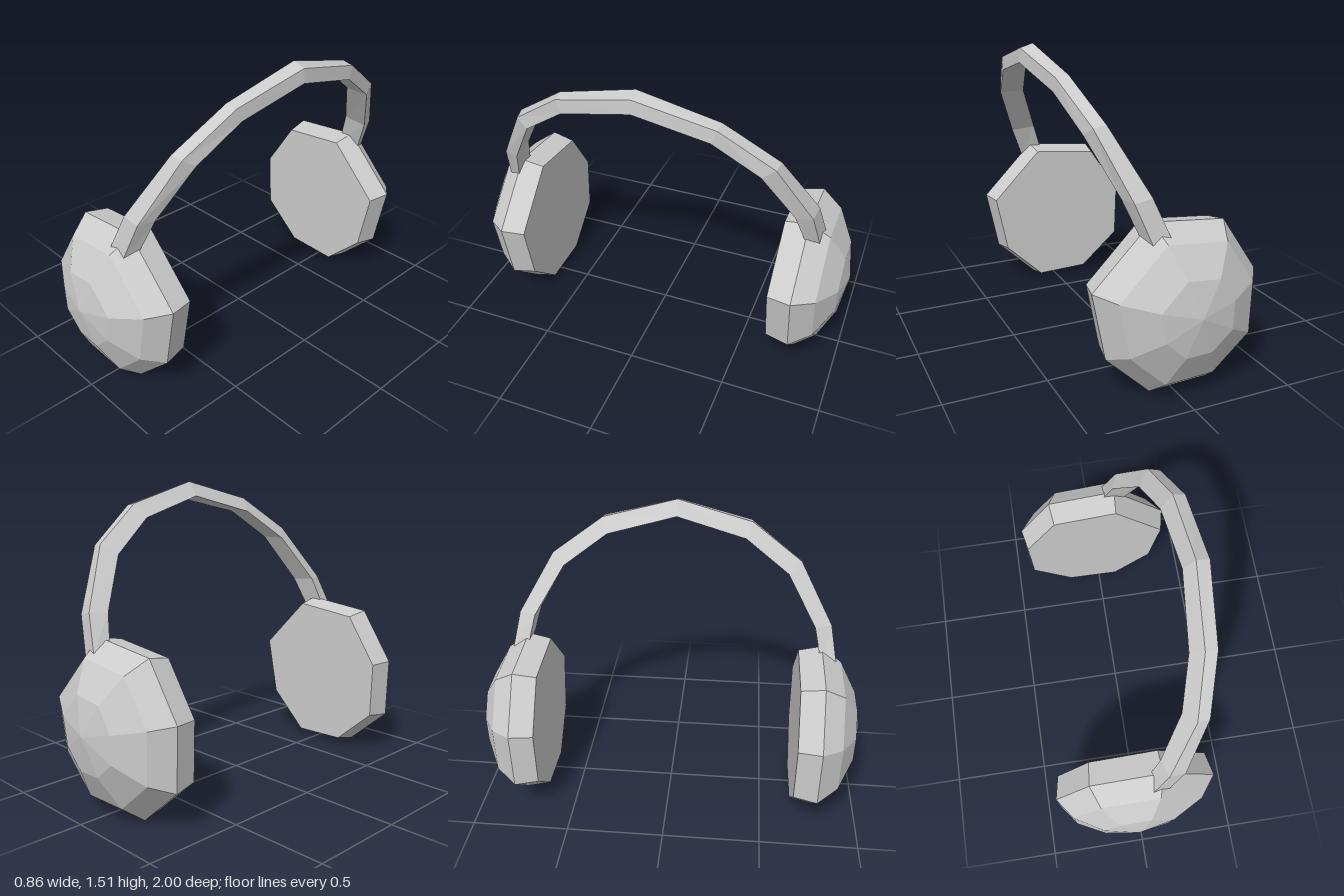
import * as THREE from 'three';

const material = new THREE.MeshStandardMaterial({ color: 0xcccccc, flatShading: true });

// Skin closed rings (counter-clockwise seen from +z, ordered towards +z), closing each end with a fan to a tip.
function loft(name, rings, startTip, endTip) {
  const pos = [];
  const tri = (...pts) => pts.forEach((p) => pos.push(...p));
  const n = rings[0].length;
  const first = rings[0];
  const last = rings[rings.length - 1];
  for (let i = 0; i < n; i++) {
    const j = (i + 1) % n;
    for (let k = 0; k < rings.length - 1; k++) {
      const a = rings[k];
      const b = rings[k + 1];
      tri(a[i], a[j], b[j]);
      tri(a[i], b[j], b[i]);
    }
    tri(first[j], first[i], startTip);
    tri(last[i], last[j], endTip);
  }
  const geometry = new THREE.BufferGeometry();
  geometry.setAttribute('position', new THREE.Float32BufferAttribute(pos, 3));
  geometry.computeVertexNormals();
  const mesh = new THREE.Mesh(geometry, material);
  mesh.name = name;
  return mesh;
}

const flip = ([x, y, z]) => [x, y, -z];
const mean = (ring) => [0, 1, 2].map((c) => ring.reduce((s, p) => s + p[c], 0) / ring.length);

// Slightly irregular octagonal outline of an ear cup
const CENTRE = [-0.03, 0.43];
const OUTLINE = [
  [0.395, 0.535], [0.115, 0.82], [-0.25, 0.785], [-0.43, 0.52],
  [-0.42, 0.21], [-0.19, 0.01], [0.11, 0], [0.33, 0.21],
];
// Dome profile: [depth, scale of the outline]
const DOME = [[0.66, 0.94], [0.78, 1], [0.885, 0.81], [0.967, 0.44]];

function cup(name, mirrored) {
  let rings = DOME.map(([z, s]) => OUTLINE.map(([x, y]) => [
    CENTRE[0] + (x - CENTRE[0]) * s, CENTRE[1] + (y - CENTRE[1]) * s, z,
  ]));
  let face = [...CENTRE, 0.66];
  let apex = [...CENTRE, 1];
  if (!mirrored) return loft(name, rings, face, apex);
  rings = rings.map((r) => r.map(flip)).reverse();
  return loft(name, rings, flip(apex), flip(face));
}

// Four-cornered band sections from the crown down to one cup
const BAND = [
  [[0.425, 1.42, 0], [0.42, 1.49, 0], [0.355, 1.51, 0], [0.3, 1.435, 0]],
  [[0.395, 1.335, 0.36], [0.39, 1.4, 0.385], [0.33, 1.41, 0.39], [0.27, 1.34, 0.36]],
  [[0.345, 1.18, 0.58], [0.325, 1.22, 0.64], [0.265, 1.23, 0.65], [0.21, 1.18, 0.585]],
  [[0.235, 0.925, 0.73], [0.21, 0.92, 0.81], [0.13, 0.94, 0.82], [0.1, 0.935, 0.735]],
  [[0.16, 0.74, 0.78], [0.135, 0.73, 0.845], [0.055, 0.76, 0.855], [0.04, 0.76, 0.775]],
];

function headband() {
  const mirrored = BAND.slice(1).reverse().map((r) => r.map(flip));
  const rings = [...mirrored, ...BAND];
  return loft('headband', rings, mean(rings[0]), mean(rings[rings.length - 1]));
}

export function createModel() {
  const group = new THREE.Group();
  group.name = 'earmuffs';
  group.add(cup('frontEarCup', false), cup('backEarCup', true), headband());
  return group;
}
